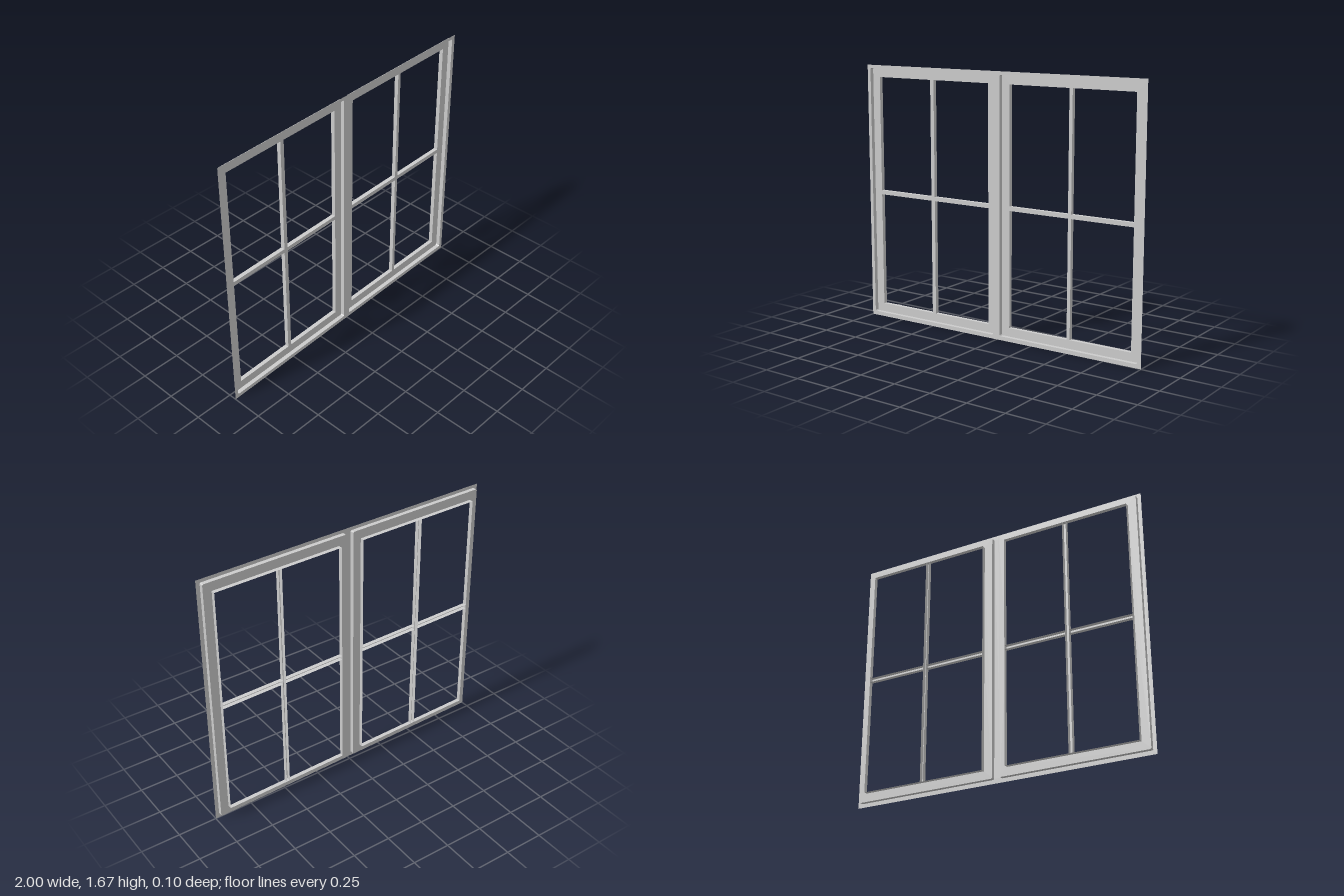
import * as THREE from 'three';

const material = new THREE.MeshStandardMaterial({ color: 0xcccccc, side: THREE.DoubleSide });
const HEIGHT = 1.666;
const STEP = 0.0265; // depth of each recess step

// Corner points of a rectangle, optionally with clipped corners
function rect(x0, y0, x1, y1, c = 0) {
  const p = c
    ? [[x0 + c, y0], [x1 - c, y0], [x1, y0 + c], [x1, y1 - c], [x1 - c, y1], [x0 + c, y1], [x0, y1 - c], [x0, y0 + c]]
    : [[x0, y0], [x1, y0], [x1, y1], [x0, y1]];
  return p.map(([x, y]) => new THREE.Vector2(x, y));
}

// Thin sheet in the window plane with openings
function sheet(name, outline, holes, z) {
  const shape = new THREE.Shape(outline);
  shape.holes = holes.map((h) => new THREE.Path(h));
  const mesh = new THREE.Mesh(new THREE.ShapeGeometry(shape), material);
  mesh.name = name;
  mesh.position.z = z;
  return mesh;
}

// Thin wall running back from z by one step along a path
function wall(name, points, z, closed = true) {
  const pos = [];
  const count = closed ? points.length : points.length - 1;
  for (let i = 0; i < count; i++) {
    const a = points[i], b = points[(i + 1) % points.length];
    const back = z - STEP;
    pos.push(a.x, a.y, z, a.x, a.y, back, b.x, b.y, back);
    pos.push(a.x, a.y, z, b.x, b.y, back, b.x, b.y, z);
  }
  const geometry = new THREE.BufferGeometry();
  geometry.setAttribute('position', new THREE.Float32BufferAttribute(pos, 3));
  geometry.computeVertexNormals();
  const mesh = new THREE.Mesh(geometry, material);
  mesh.name = name;
  return mesh;
}

export function createModel() {
  const model = new THREE.Group();
  model.name = 'doubleWindow';

  // outer: sash recess edges; pane: glazing edges; bar: vertical glazing bar edges
  const sashes = [
    { name: 'rightSash', outer: [-0.977, -0.026], pane: [-0.923, -0.079], bar: [-0.517, -0.491] },
    { name: 'leftSash', outer: [0.022, 0.975], pane: [0.077, 0.921], bar: [0.488, 0.51] },
  ];
  const [o0, o1] = [0.025, 1.645];
  const [p0, p1] = [0.079, 1.588];
  const [h0, h1] = [0.821, 0.847]; // horizontal glazing bar
  const recesses = sashes.map((s) => rect(s.outer[0], o0, s.outer[1], o1, 0.006));

  // Flat outer frame
  model.add(sheet('outerFrame', rect(-1, 0, 1, HEIGHT), recesses, 0));

  sashes.forEach((s, i) => {
    const sash = new THREE.Group();
    sash.name = s.name;
    const [x0, x1] = s.pane, [b0, b1] = s.bar;

    // Recess wall, then the sash face with four pane openings
    sash.add(wall('recessWall', recesses[i], 0));
    const panes = [];
    for (const [l, r] of [[x0, b0], [b1, x1]])
      for (const [b, t] of [[p0, h0], [h1, p1]]) panes.push(rect(l, b, r, t));
    sash.add(sheet('sashFace', recesses[i], panes, -STEP));

    // Wall around the glazing
    sash.add(wall('glazingWall', rect(x0, p0, x1, p1), -STEP));

    // Sides of the open-backed glazing bars
    for (const x of s.bar)
      sash.add(wall('verticalBarSide', [new THREE.Vector2(x, p0), new THREE.Vector2(x, p1)], -STEP, false));
    for (const y of [h0, h1])
      for (const [l, r] of [[x0, b0], [b1, x1]])
        sash.add(wall('horizontalBarSide', [new THREE.Vector2(l, y), new THREE.Vector2(r, y)], -STEP, false));
    model.add(sash);
  });

  // The whole window is turned very slightly
  model.rotation.y = 0.026;
  model.position.z = 0.0255;
  const root = new THREE.Group();
  root.name = 'window';
  root.add(model);
  return root;
}
